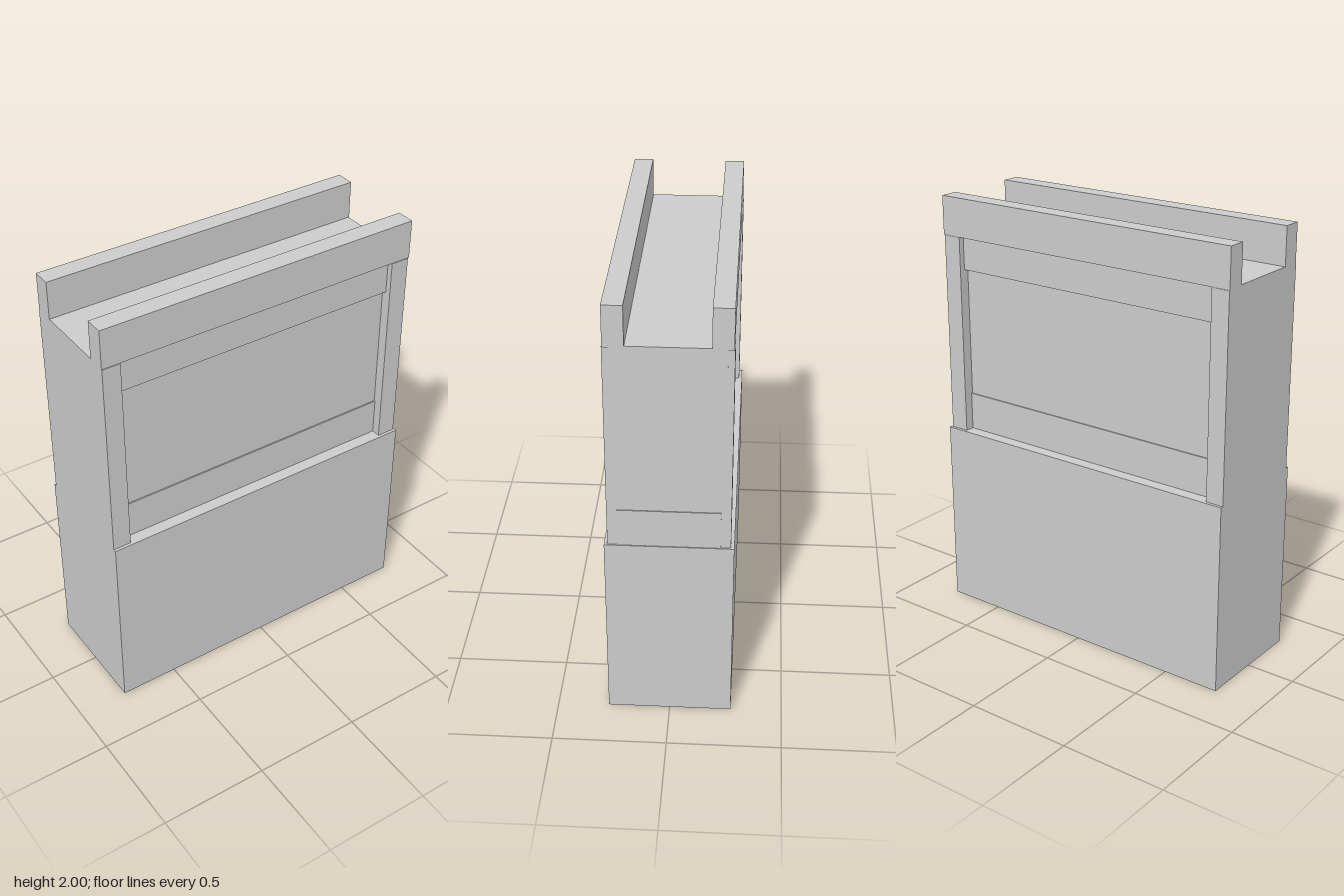
import * as THREE from 'three';

const material = new THREE.MeshStandardMaterial({ color: 0xcccccc, flatShading: true, side: THREE.DoubleSide });

// Box given by its lower and upper limits on each axis
function box(name, [x0, x1], [y0, y1], [z0, z1]) {
  const geometry = new THREE.BoxGeometry(x1 - x0, y1 - y0, z1 - z0);
  geometry.translate((x0 + x1) / 2, (y0 + y1) / 2, (z0 + z1) / 2);
  const mesh = new THREE.Mesh(geometry, material);
  mesh.name = name;
  return mesh;
}

export function createModel() {
  const group = new THREE.Group();
  group.name = 'panelledWall';

  const baseTop = 0.885, deck = 1.825, railBottom = 1.82;
  const left = -0.77, right = 0.77, sideRight = 0.762;

  // Hollow base, open underneath
  const base = box('base', [left, right], [0, baseTop], [-0.273, 0.273]);
  const index = Array.from(base.geometry.index.array);
  index.splice(18, 6); // drop the bottom face
  base.geometry.setIndex(index);
  base.geometry.clearGroups();
  group.add(base);

  // Recessed core and the bands across its foot and head
  group.add(box('corePanel', [left, sideRight], [baseTop, deck], [-0.21, 0.21]));
  group.add(box('lowerBand', [left, 0.766], [baseTop, 1.06], [-0.216, 0.216]));
  group.add(box('upperBand', [left, 0.766], [1.665, deck], [-0.232, 0.232]));

  // Posts and parapet rails on both faces
  for (const [side, s] of [['front', 1], ['back', -1]]) {
    const span = (a, b) => (s > 0 ? [a, b] : [-b, -a]);
    group.add(box(side + 'PostRight', [left, -0.686], [baseTop, railBottom], span(0.17, 0.259)));
    group.add(box(side + 'PostLeft', [0.674, sideRight], [baseTop, railBottom], span(0.17, 0.259)));
    group.add(box(side + 'TopRail', [left, right], [railBottom, 2], span(0.17, 0.256)));
  }
  return group;
}
